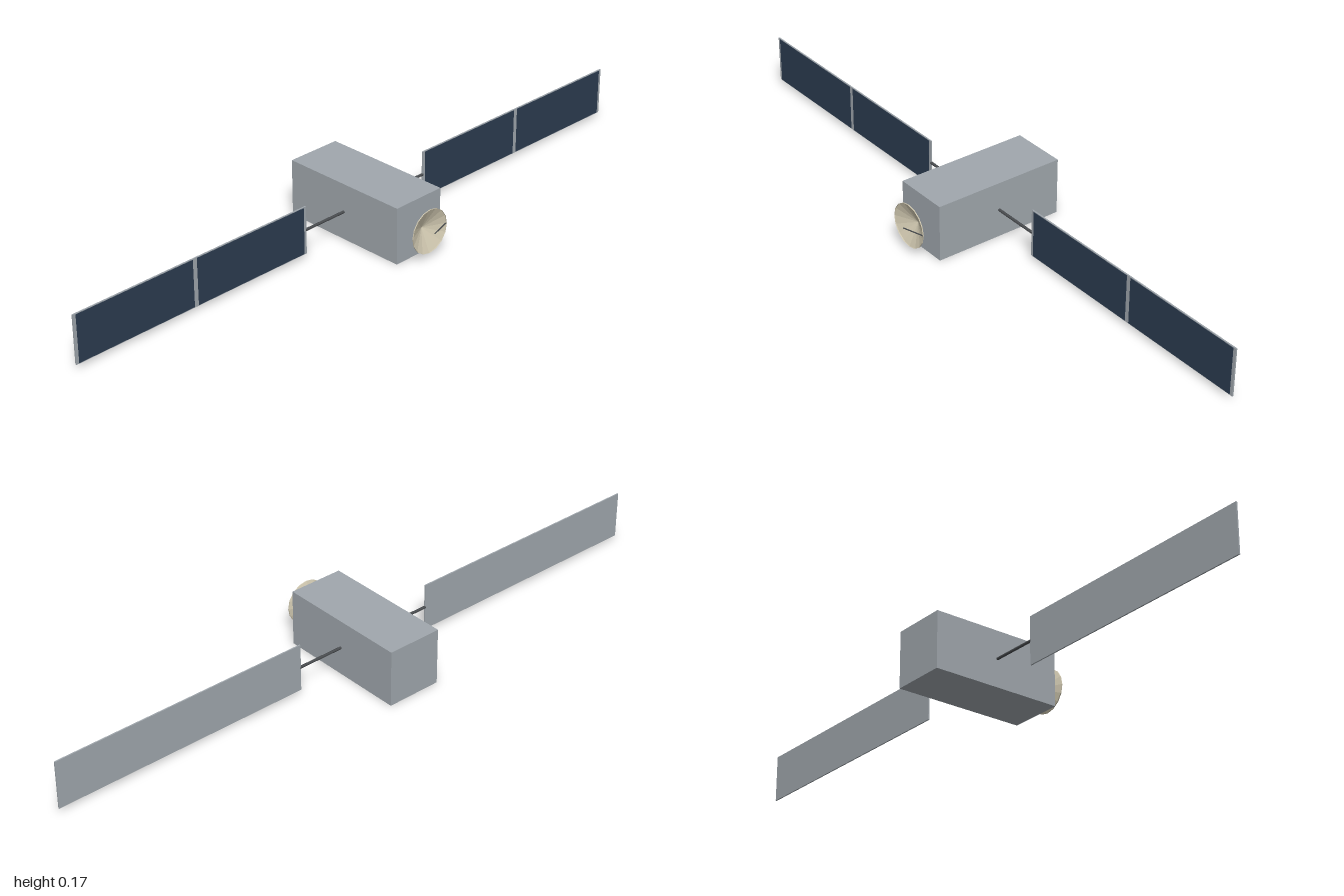
import * as THREE from 'three';

const material = (name, color, extra = {}) => {
  const m = new THREE.MeshStandardMaterial({ color, ...extra });
  m.name = name;
  return m;
};

export function createModel() {
  const grey = material('hull grey', 0xa0a7ad);
  const blue = material('solar cell blue', 0x2c3c50);
  const cream = material('dish cream', 0xd0c8b0, { side: THREE.DoubleSide, flatShading: true });
  const dark = material('strut dark grey', 0x4a4d50);

  const model = new THREE.Group();
  model.name = 'satellite';
  const midY = 0.084, wingZ = -0.029;

  const add = (parent, name, geometry, mat, x = 0, y = 0, z = 0) => {
    const mesh = new THREE.Mesh(geometry, mat);
    mesh.name = name;
    mesh.position.set(x, y, z);
    parent.add(mesh);
    return mesh;
  };

  // Straight round rod between two points
  const rod = (parent, name, a, b, radius) => {
    const path = new THREE.LineCurve3(new THREE.Vector3(...a), new THREE.Vector3(...b));
    const dir = path.v2.clone().sub(path.v1);
    const mesh = add(parent, name, new THREE.CylinderGeometry(radius, radius, dir.length(), 8), dark);
    mesh.position.copy(path.getPoint(0.5));
    mesh.quaternion.setFromUnitVectors(new THREE.Vector3(0, 1, 0), dir.normalize());
    return mesh;
  };

  // Main box
  add(model, 'body', new THREE.BoxGeometry(0.166, 0.168, 0.4), grey, 0, midY, -0.03);

  // Solar wings: boom, backing panel and two cell fields on the front
  for (const side of [-1, 1]) {
    const wing = new THREE.Group();
    wing.name = side > 0 ? 'leftWing' : 'rightWing';
    rod(wing, 'boom', [side * 0.08, midY, wingZ], [side * 0.226, midY, wingZ], 0.004);
    add(wing, 'panel', new THREE.BoxGeometry(0.776, 0.142, 0.004), grey, side * 0.612, midY, wingZ);
    for (const x of [0.419, 0.805]) {
      add(wing, 'solarCells', new THREE.BoxGeometry(0.372, 0.138, 0.001), blue, side * x, midY, wingZ + 0.0024);
    }
    model.add(wing);
  }

  // Shallow conical dish opening to the front, with a slim rim
  const dish = new THREE.Group();
  dish.name = 'antenna';
  dish.position.set(0, midY, 0.18);
  const profile = [[0, 0], [0.065, 0.029], [0.065, 0.032]].map(p => new THREE.Vector2(...p));
  add(dish, 'dish', new THREE.LatheGeometry(profile, 16), cream).rotation.x = Math.PI / 2;

  // Feed arm reaching from the rim to the dish axis
  rod(dish, 'feedArm', [0.063, 0, 0.03], [0, 0, 0.049], 0.0018);
  model.add(dish);

  return model;
}
